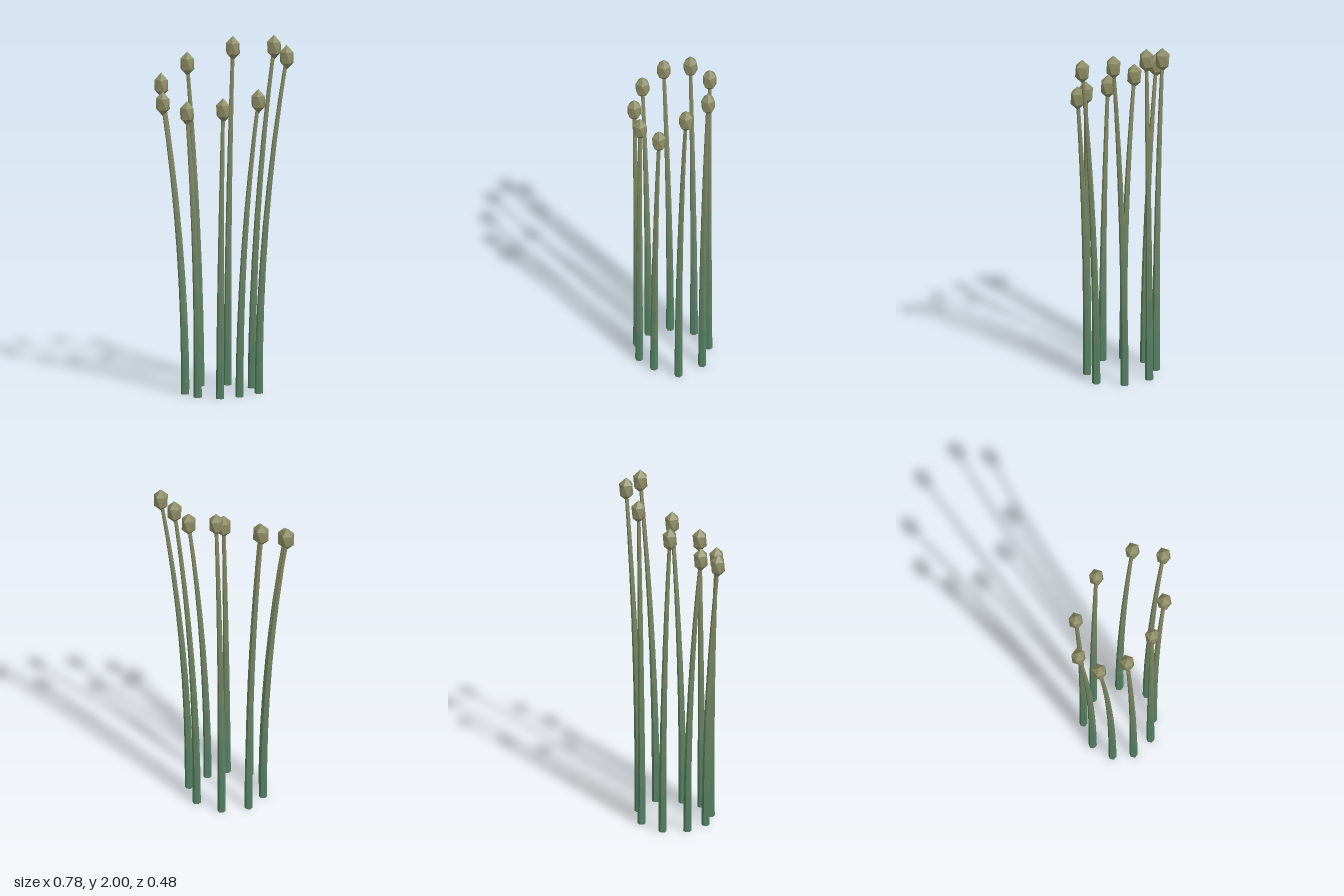
import * as THREE from 'three';

// One entry per stalk: base x, bud x, shared z, bud centre height
const STALKS = [
  [-0.147, -0.22, -0.158, 1.82],
  [0.0, 0.03, -0.2, 1.905],
  [0.143, 0.267, -0.125, 1.93],
  [0.196, 0.352, 0.026, 1.905],
  [0.1, 0.205, 0.14, 1.675],
  [-0.003, 0.014, 0.197, 1.63],
  [-0.13, -0.19, 0.174, 1.605],
  [-0.209, -0.333, 0.087, 1.64],
  [-0.22, -0.354, -0.041, 1.72],
];
const BANDS = 8;
const BASE_RADIUS = 0.023, TIP_RADIUS = 0.01;
const BUD_RADIUS = 0.0445, BUD_HALF_HEIGHT = 0.07;

const flat = (color) => new THREE.MeshStandardMaterial({ color, flatShading: true });

// Stem colours run from green at the ground to olive at the bud
const green = new THREE.Color(0x4f8063), olive = new THREE.Color(0x8c8c64);
const bandMaterials = Array.from({ length: BANDS }, (_, i) =>
  flat(green.clone().lerp(olive, (i + 0.5) / BANDS)));
const budMaterial = flat(olive);

// Tapered six-sided stem in bands, bending outwards with the square of the height
function createStem(bend, height) {
  const stem = new THREE.Group();
  stem.name = 'stem';
  const radius = (t) => THREE.MathUtils.lerp(BASE_RADIUS, TIP_RADIUS, t);
  for (let i = 0; i < BANDS; i++) {
    const t0 = i / BANDS, t1 = (i + 1) / BANDS;
    const geo = new THREE.CylinderGeometry(radius(t1), radius(t0), height / BANDS, 6, 1, i > 0);
    geo.rotateY(Math.PI / 6);
    geo.translate(0, (height * (t0 + t1)) / 2, 0);
    const p = geo.attributes.position;
    for (let v = 0; v < p.count; v++) {
      const t = p.getY(v) / height;
      p.setX(v, p.getX(v) + bend * t * t);
    }
    geo.computeVertexNormals();
    const band = new THREE.Mesh(geo, bandMaterials[i]);
    band.name = 'stemBand';
    stem.add(band);
  }
  return stem;
}

// Bud: icosahedron standing on a corner, stretched upwards
function createBudGeometry() {
  const geo = new THREE.IcosahedronGeometry(1, 0);
  geo.rotateX(-Math.atan((1 + Math.sqrt(5)) / 2));
  geo.scale(BUD_RADIUS, BUD_HALF_HEIGHT, BUD_RADIUS);
  geo.computeVertexNormals();
  return geo;
}

export function createModel() {
  const model = new THREE.Group();
  model.name = 'buddingStalks';
  const budGeometry = createBudGeometry();
  for (const [baseX, budX, z, height] of STALKS) {
    const stalk = new THREE.Group();
    stalk.name = 'stalk';
    stalk.position.set(baseX, 0, z);
    const bud = new THREE.Mesh(budGeometry, budMaterial);
    bud.name = 'bud';
    bud.position.set(budX - baseX, height, 0);
    stalk.add(createStem(budX - baseX, height), bud);
    model.add(stalk);
  }
  return model;
}
